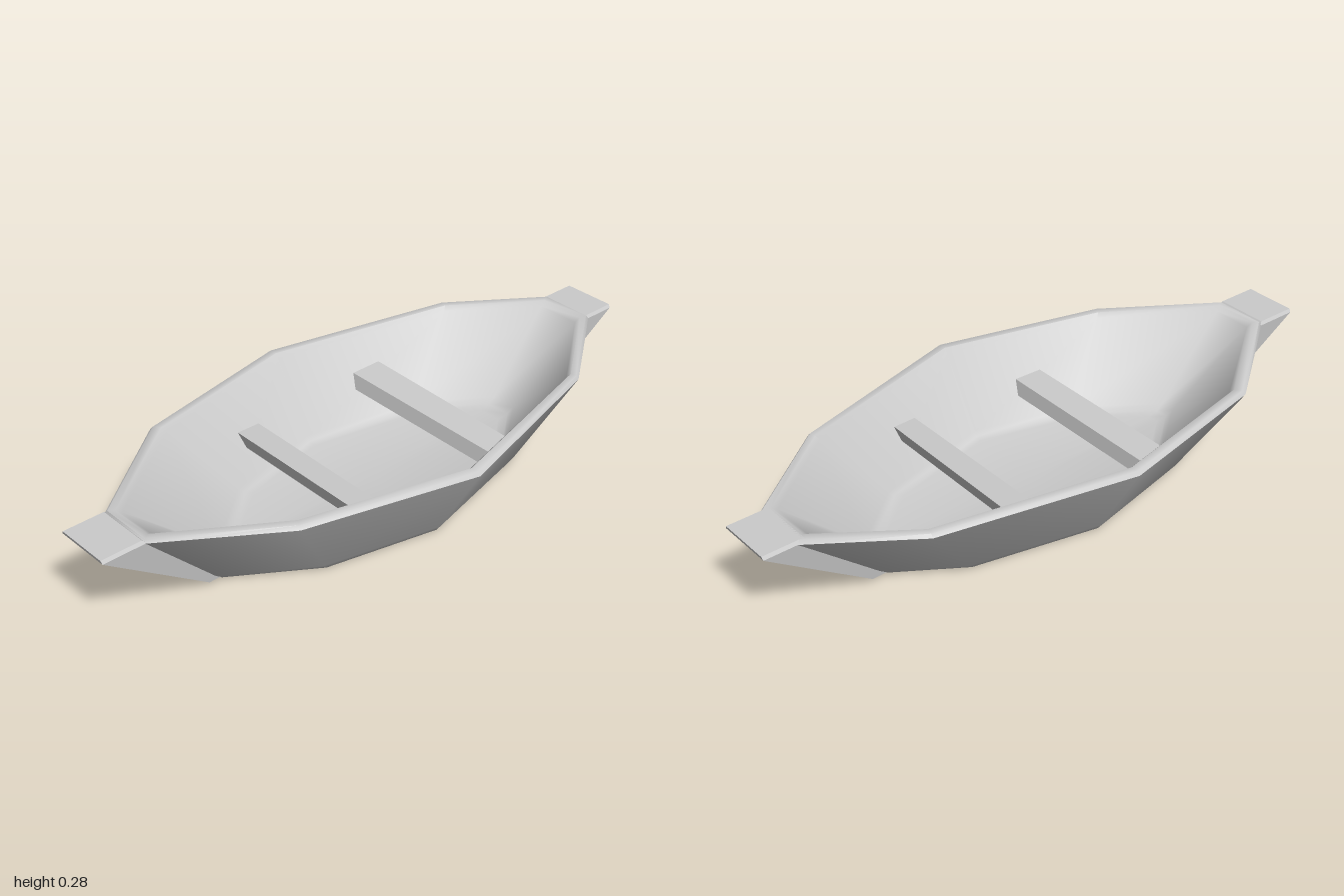
import * as THREE from 'three';
import { toCreasedNormals } from 'three/addons/utils/BufferGeometryUtils.js';

const material = new THREE.MeshStandardMaterial({ color: 0xcccccc });

// Skins a stack of rings (counterclockwise from above) and closes both ends with fans.
function loft(name, rings, crease) {
  const n = rings[0].length, pos = rings.flat(2), index = [];
  for (let r = 0; r < rings.length - 1; r++) {
    for (let i = 0; i < n; i++) {
      const a = r * n + i, b = r * n + (i + 1) % n;
      index.push(a, b, b + n, a, b + n, a + n);
    }
  }
  const last = (rings.length - 1) * n, c0 = rings.length * n;
  for (const ring of [rings[0], rings[rings.length - 1]]) {
    for (let k = 0; k < 3; k++) pos.push(ring.reduce((s, p) => s + p[k], 0) / n);
  }
  for (let i = 0; i < n; i++) {
    const j = (i + 1) % n;
    index.push(c0, j, i, c0 + 1, last + i, last + j);
  }
  const geo = new THREE.BufferGeometry();
  geo.setAttribute('position', new THREE.Float32BufferAttribute(pos, 3));
  geo.setIndex(index);
  const mesh = new THREE.Mesh(toCreasedNormals(geo, crease), material);
  mesh.name = name;
  return mesh;
}

// Blend of two outlines [x, z] placed at height y
const blend = (a, b, t, y) => a.map((p, i) =>
  [p[0] + (b[i][0] - p[0]) * t, y, p[1] + (b[i][1] - p[1]) * t]);
const scaled = (a, s) => a.map(([x, z]) => [x * s, z * s]);

function createHull() {
  const top = [[0.09, 0.87], [0.32, 0.53], [0.46, 0], [0.295, -0.59], [0.06, -0.9],
    [-0.12, -0.9], [-0.325, -0.61], [-0.46, 0], [-0.35, 0.53], [-0.09, 0.87]];
  const keel = [[0.055, 0.61], [0.22, 0.36], [0.3, 0], [0.2, -0.4], [0.04, -0.61],
    [-0.07, -0.61], [-0.21, -0.4], [-0.3, 0], [-0.22, 0.36], [-0.055, 0.61]];
  const rim = [[0.07, 0.84], [0.285, 0.51], [0.42, 0], [0.265, -0.58], [0.05, -0.86],
    [-0.1, -0.86], [-0.29, -0.6], [-0.42, 0], [-0.315, 0.51], [-0.07, 0.84]];
  const floor = [[0.02, 0.53], [0.18, 0.32], [0.27, 0], [0.18, -0.38], [0.03, -0.57],
    [-0.05, -0.57], [-0.19, -0.38], [-0.27, 0], [-0.19, 0.32], [-0.02, 0.53]];
  return loft('hull', [
    blend(scaled(keel, 0.91), keel, 0, 0),
    blend(scaled(keel, 0.91), keel, 0.8, 0.004),
    blend(keel, top, 0.06, 0.024),
    blend(keel, top, 0.99, 0.275),
    blend(top, rim, 0.3, 0.285),
    blend(top, rim, 0.9, 0.285),
    blend(rim, floor, 0.05, 0.272),
    blend(rim, floor, 0.92, 0.05),
    blend(rim, floor, 1, 0.036),
    blend(scaled(floor, 0.93), floor, 0, 0.03),
  ], 0.85);
}

// Wedge-shaped stem, leaning outward; side is +1 at the front, -1 at the back
function createStem(name, side, cx, topHalf, bottomCx, bottomHalf) {
  const ring = (x, half, inner, outer, y) => {
    const [z0, z1] = side > 0 ? [inner, outer] : [-outer, -inner];
    return [[x - half, y, z1], [x + half, y, z1], [x + half, y, z0], [x - half, y, z0]];
  };
  return loft(name, [
    ring(bottomCx, bottomHalf - 0.012, 0.58, 0.625, 0.001),
    ring(bottomCx, bottomHalf, 0.59, 0.645, 0.012),
    ring(cx, topHalf, 0.86, 0.998, 0.275),
    ring(cx, topHalf - 0.006, 0.87, 1, 0.285),
  ], 0.3);
}

// Plank whose top corners are [x, z]; rise tips it along z
function createBench(name, corners, y, tilt, shift) {
  const midZ = corners.reduce((s, p) => s + p[1], 0) / 4;
  const face = (drop, dz) => corners.map(([x, z]) =>
    [x, y - drop + (z - midZ) * tilt, z + dz]);
  return loft(name, [face(0.045, shift), face(0, 0)], 0.3);
}

export function createModel() {
  const boat = new THREE.Group();
  boat.name = 'rowingBoat';
  boat.add(
    createHull(),
    createStem('frontStem', 1, 0, 0.092, -0.003, 0.06),
    createStem('backStem', -1, -0.03, 0.092, -0.02, 0.06),
    createBench('frontBench',
      [[-0.31, 0.258], [0.287, 0.264], [0.307, 0.18], [-0.325, 0.17]], 0.165, 0.12, -0.01),
    createBench('backBench',
      [[-0.312, -0.218], [0.3, -0.212], [0.285, -0.297], [-0.298, -0.312]], 0.183, -0.12, 0.012),
  );
  return boat;
}
